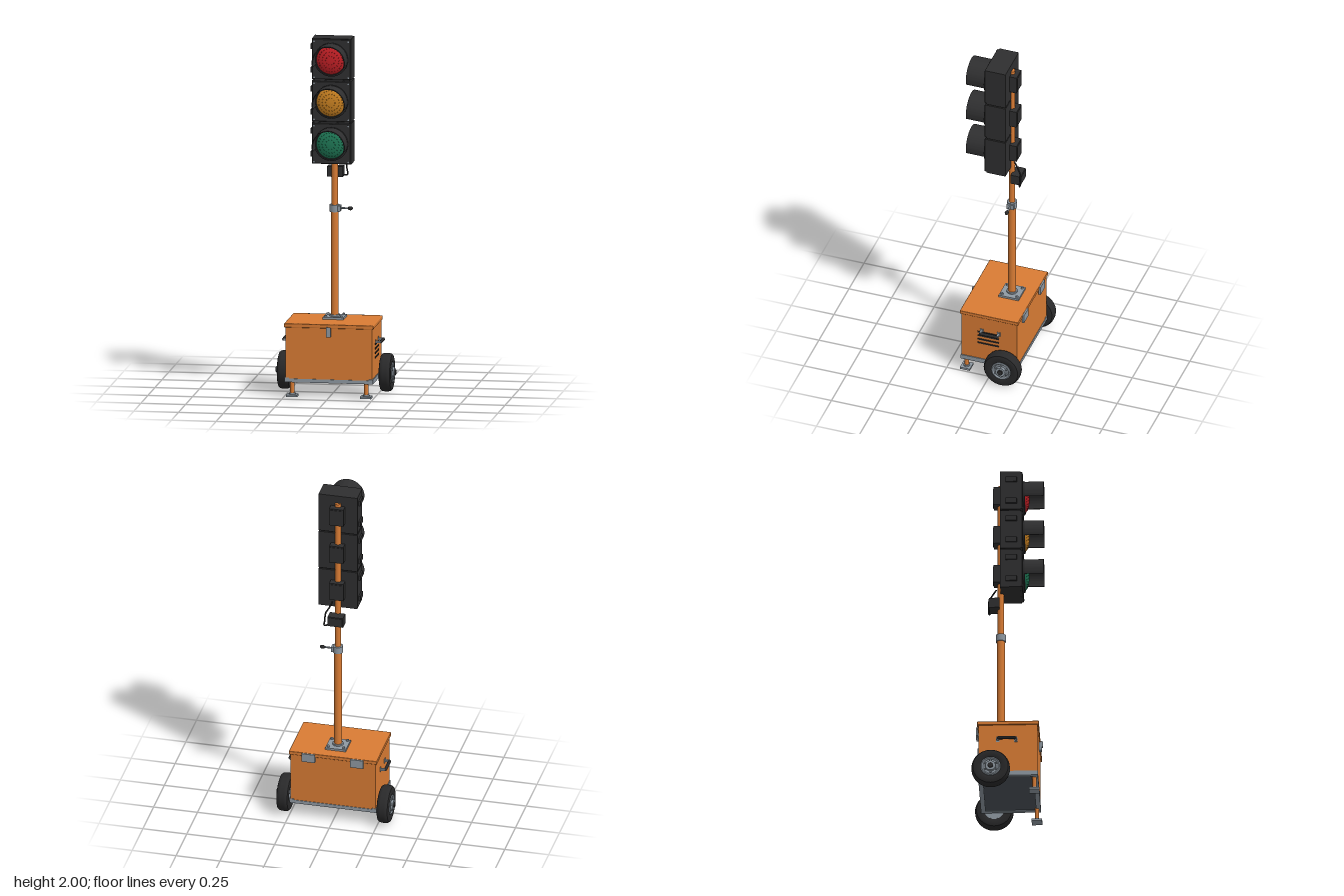
import * as THREE from 'three';
import { toCreasedNormals } from 'three/addons/utils/BufferGeometryUtils.js';
import { RoundedBoxGeometry } from 'three/addons/geometries/RoundedBoxGeometry.js';

const paint = (name, color) => {
  const m = new THREE.MeshStandardMaterial({ color });
  m.name = name;
  return m;
};

export function createModel() {
  const orange = paint('orange paint', 0xd97c34);
  const charcoal = paint('charcoal housing', 0x2f2f30);
  const rubber = paint('black rubber', 0x29292a);
  const steel = paint('grey steel', 0x8f99a2);
  const underside = paint('dark steel', 0x4c535a);
  const red = paint('red lens', 0xc42026);
  const amber = paint('amber lens', 0xcc8322);
  const green = paint('green lens', 0x1f7856);

  const model = new THREE.Group();
  model.name = 'portableTrafficLight';

  const add = (parent, name, geometry, material, x = 0, y = 0, z = 0) => {
    const mesh = new THREE.Mesh(geometry, material);
    mesh.name = name;
    mesh.position.set(x, y, z);
    parent.add(mesh);
    return mesh;
  };
  const group = (name, x = 0, y = 0, z = 0) => {
    const g = new THREE.Group();
    g.name = name;
    g.position.set(x, y, z);
    model.add(g);
    return g;
  };
  const box = (w, h, d) => new THREE.BoxGeometry(w, h, d);
  const cyl = (r, h, n = 24) => new THREE.CylinderGeometry(r, r, h, n);
  const cylX = (r, h, n) => cyl(r, h, n).rotateZ(-Math.PI / 2);
  const cylZ = (r, h, n) => cyl(r, h, n).rotateX(Math.PI / 2);
  const lathe = (pts, n = 40) =>
    toCreasedNormals(new THREE.LatheGeometry(pts.map(([r, y]) => new THREE.Vector2(r, y)), n), 0.6);

  // Cabinet with lid, latch, hinges and base frame
  const cabinet = group('cabinet');
  add(cabinet, 'cabinetBody', box(0.486, 0.292, 0.326), orange, 0, 0.246, 0.003);
  add(cabinet, 'lid', new RoundedBoxGeometry(0.5, 0.022, 0.342, 2, 0.004), orange, 0, 0.401, 0.003);
  add(cabinet, 'floorPlate', box(0.46, 0.012, 0.3), underside, 0, 0.092, 0.003);
  for (const s of [-1, 1]) {
    add(cabinet, 'sideFrameRail', box(0.026, 0.026, 0.332), steel, s * 0.235, 0.095, 0.003);
    add(cabinet, 'endFrameRail', box(0.444, 0.02, 0.026), steel, 0, 0.092, 0.003 + s * 0.153);
    add(cabinet, 'hingeLeaf', box(0.075, 0.05, 0.012), steel, s * 0.1375, 0.385, -0.171);
    add(cabinet, 'hingePin', cylX(0.006, 0.075, 12), steel, s * 0.1375, 0.402, -0.171);
  }
  add(cabinet, 'latchPlate', box(0.024, 0.055, 0.016), steel, 0, 0.37, 0.175);
  add(cabinet, 'latchHook', box(0.016, 0.03, 0.008), steel, 0, 0.38, 0.184);

  // Vent slots on the left side
  for (let i = 0; i < 4; i++)
    add(cabinet, 'ventSlot', box(0.006, 0.008, 0.125), rubber, 0.244, 0.215 + i * 0.025, 0.008);

  // Side handles
  for (const s of [-1, 1]) {
    const handle = group('sideHandle', 0, 0.3, -0.003);
    for (const e of [-1, 1]) {
      add(handle, 'handleArm', box(0.032, 0.012, 0.012), steel, s * 0.256, 0, e * 0.05);
      add(handle, 'handleFoot', box(0.004, 0.026, 0.018), steel, s * 0.244, 0, e * 0.05);
    }
    add(handle, 'handleGrip', new THREE.CapsuleGeometry(0.009, 0.088, 4, 12).rotateX(Math.PI / 2),
      rubber, s * 0.272, 0, 0);
  }

  // Front support legs
  for (const s of [-1, 1]) {
    const leg = group('frontLeg', s * 0.207, 0, 0.148);
    add(leg, 'footPad', box(0.062, 0.012, 0.058), steel, 0, 0.006, 0);
    add(leg, 'footCollar', cyl(0.018, 0.01, 16), steel, 0, 0.016, 0);
    add(leg, 'legTube', cyl(0.012, 0.075, 16), orange, 0, 0.05, 0);
  }

  // Wheels: lathe axis points outward along x
  const tyre = lathe([[0.055, -0.029], [0.062, -0.033], [0.088, -0.033], [0.098, -0.03], [0.104, -0.022],
    [0.1065, -0.01], [0.1065, 0.01], [0.104, 0.022], [0.098, 0.03], [0.088, 0.033], [0.062, 0.033],
    [0.055, 0.029]], 48);
  const rim = lathe([[0, -0.03], [0.056, -0.03], [0.056, 0.034], [0.05, 0.037], [0.046, 0.035],
    [0.042, 0.03], [0.03, 0.03], [0.028, 0.044], [0, 0.044]]);
  for (const s of [-1, 1]) {
    const wheel = group('wheel', s * 0.285, 0.1065, -0.091);
    wheel.rotation.z = -s * Math.PI / 2;
    add(wheel, 'tyre', tyre, rubber);
    add(wheel, 'rim', rim, steel);
    add(wheel, 'hubCap', cyl(0.015, 0.008, 20), charcoal, 0, 0.047, 0);
    for (let i = 0; i < 6; i++) {
      const a = i * Math.PI / 3;
      add(wheel, 'wheelNut', cyl(0.005, 0.01, 6), steel, Math.cos(a) * 0.036, 0.034, Math.sin(a) * 0.036);
    }
    add(wheel, 'stubAxle', cyl(0.012, 0.06, 16), steel, 0, -0.05, 0);
    add(cabinet, 'axleBracket', box(0.012, 0.035, 0.05), steel, s * 0.236, 0.098, -0.091);
  }

  // Telescopic mast on a bolted flange
  const mast = group('mast', 0, 0, -0.045);
  add(mast, 'flange', box(0.117, 0.012, 0.117), steel, 0, 0.418, 0);
  add(mast, 'flangeCollar', cyl(0.03, 0.01), steel, 0, 0.428, 0);
  for (const x of [-1, 1])
    for (const z of [-1, 1])
      add(mast, 'flangeBolt', cyl(0.008, 0.01, 6), steel, x * 0.044, 0.428, z * 0.044);
  add(mast, 'lowerTube', cyl(0.022, 0.6), orange, 0, 0.72, 0);
  add(mast, 'upperTube', cyl(0.0175, 0.94), orange, 0, 1.485, 0);
  add(mast, 'clampCollar', cyl(0.028, 0.04), steel, 0, 1.03, 0);
  add(mast, 'clampBoss', box(0.018, 0.03, 0.04), steel, 0.026, 1.03, 0);
  add(mast, 'clampLever', cylX(0.005, 0.06, 12), steel, 0.056, 1.03, 0);
  add(mast, 'leverKnob', new THREE.SphereGeometry(0.011, 16, 10).scale(1.35, 1, 1), rubber, 0.088, 1.03, 0);

  // Junction box and cable
  const junction = group('junctionBox');
  add(junction, 'junctionCase', box(0.088, 0.058, 0.056), charcoal, 0, 1.232, -0.08);
  add(junction, 'junctionCover', box(0.08, 0.05, 0.006), charcoal, 0, 1.232, -0.109);
  const cablePath = new THREE.CatmullRomCurve3([[0.025, 1.34, -0.07], [0.036, 1.315, -0.09],
    [0.054, 1.285, -0.112], [0.058, 1.24, -0.114], [0.062, 1.208, -0.112], [0.04, 1.208, -0.1]]
    .map(p => new THREE.Vector3(...p)));
  add(junction, 'cable', new THREE.TubeGeometry(cablePath, 32, 0.0045, 8), rubber);

  // Visor: open-bottomed tunnel
  const reach = 0.29, visorShape = new THREE.Shape();
  visorShape.absarc(0, 0, 0.092, -reach, Math.PI + reach, false);
  visorShape.absarc(0, 0, 0.087, Math.PI + reach, -reach, true);
  const visor = toCreasedNormals(new THREE.ExtrudeGeometry(visorShape,
    { depth: 0.115, bevelEnabled: false, curveSegments: 36 }), 0.6);
  const bezel = lathe([[0.08, 0], [0.094, 0], [0.094, 0.01], [0.084, 0.014], [0.08, 0.01]], 48)
    .rotateX(Math.PI / 2);
  const lensPoints = [];
  for (let i = 0; i <= 10; i++) {
    const a = i / 10 * Math.PI / 2;
    lensPoints.push(new THREE.Vector2(0.082 * Math.cos(a), 0.03 * Math.sin(a)));
  }
  const lens = new THREE.LatheGeometry(lensPoints, 48).rotateX(Math.PI / 2);
  const bump = new THREE.SphereGeometry(0.0032, 6, 4);

  // Three signal heads
  [green, amber, red].forEach((colour, i) => {
    const head = group(['green', 'amber', 'red'][i] + 'SignalHead', 0, 1.411 + i * 0.237, 0);
    add(head, 'housing', box(0.22, 0.23, 0.112), charcoal, 0, 0, 0.011);
    add(head, 'door', new RoundedBoxGeometry(0.214, 0.224, 0.014, 2, 0.004), charcoal, 0, 0, 0.072);
    add(head, 'bezel', bezel, rubber, 0, 0, 0.078);
    add(head, 'lens', lens, colour, 0, 0, 0.084);
    add(head, 'visor', visor, charcoal, 0, 0, 0.079);

    // Rings of small lens bumps
    [0.026, 0.047, 0.066].forEach((r, k) => {
      const n = 10 + k * 8, z = 0.084 + 0.03 * Math.sqrt(1 - (r / 0.082) ** 2);
      for (let j = 0; j < n; j++) {
        const a = j / n * Math.PI * 2;
        add(head, 'lensBump', bump, colour, r * Math.cos(a), r * Math.sin(a), z - 0.001);
      }
    });

    // Door hinges, corner screws and rear mounting bracket
    for (const s of [-1, 1]) {
      add(head, 'doorHinge', box(0.012, 0.03, 0.062), charcoal, -0.114, s * 0.065, 0.016);
      for (const t of [-1, 1])
        add(head, 'cornerScrew', cylZ(0.0045, 0.006, 10), steel, s * 0.096, t * 0.101, 0.079);
    }
    add(head, 'mountBracket', box(0.08, 0.105, 0.042), charcoal, 0, 0, -0.064);
    add(head, 'bracketPlate', box(0.07, 0.09, 0.004), charcoal, 0, 0, -0.086);
  });

  // Gaskets joining the heads
  for (const y of [1.5295, 1.7665])
    add(model, 'headGasket', box(0.2, 0.012, 0.1), rubber, 0, y, 0.015);

  return model;
}
